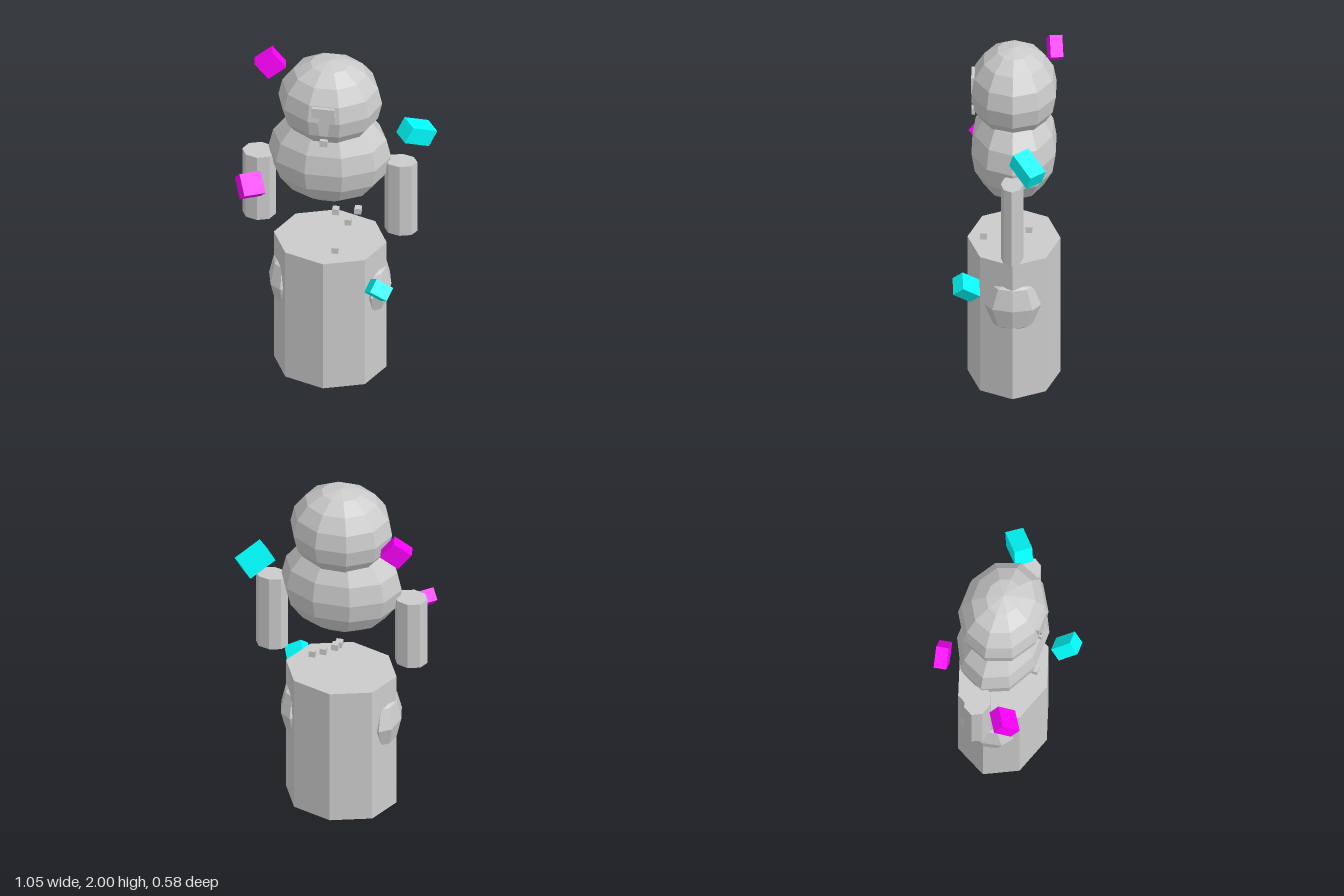
import * as THREE from 'three';

const CX = -0.033, CZ = -0.033; // axis shared by the figure's main volumes

const paint = (color) => new THREE.MeshStandardMaterial({ color, flatShading: true });

export function createModel() {
  const group = new THREE.Group();
  const grey = paint(0xcccccc), magenta = paint(0xff00ff), cyan = paint(0x00ffff);

  const add = (name, geometry, material, x, y, z) => {
    const mesh = new THREE.Mesh(geometry, material);
    mesh.name = name;
    mesh.position.set(x, y, z);
    group.add(mesh);
    return mesh;
  };
  const ellipsoid = (name, x, y, r, w, h) =>
    add(name, new THREE.SphereGeometry(1, w, h).scale(...r), grey, x, y, CZ);
  const post = (name, x, y0, y1, rx, rz) =>
    add(name, new THREE.CylinderGeometry(1, 1, y1 - y0, 8).scale(rx, 1, rz), grey, x, (y0 + y1) / 2, CZ);

  // Octagonal base with a low bulge on each side
  post('base', CX, 0, 0.825, 0.304, 0.248);
  for (const [name, side] of [['leftBulge', 1], ['rightBulge', -1]])
    ellipsoid(name, CX + side * 0.245, 0.553, [0.085, 0.163, 0.152], 8, 4);

  // Torso and head
  ellipsoid('torso', CX - 0.002, 1.396, [0.331, 0.29, 0.236], 10, 8);
  ellipsoid('head', CX, 1.745, [0.28, 0.255, 0.237], 10, 8);

  // Arms, hanging free of the torso
  post('leftArm', 0.349, 0.921, 1.378, 0.088, 0.06);
  post('rightArm', -0.417, 0.945, 1.358, 0.09, 0.073);

  // Thin face plates: brow, its short drop on one side, nose, mouth
  const plate = (name, x0, x1, y0, y1) =>
    add(name, new THREE.BoxGeometry(x1 - x0, y1 - y0, 0.02), grey, (x0 + x1) / 2, (y0 + y1) / 2, 0.184);
  plate('brow', -0.097, 0.025, 1.776, 1.838);
  plate('browDrop', -0.02, 0.03, 1.744, 1.8);
  plate('mouth', -0.054, -0.013, 1.59, 1.628);
  const nose = new THREE.Shape([
    [-0.054, 1.66], [-0.013, 1.66], [0.0, 1.745], [-0.035, 1.79], [-0.07, 1.745], [-0.06, 1.71],
  ].map(([x, y]) => new THREE.Vector2(x, y)));
  add('nose', new THREE.ExtrudeGeometry(nose, { depth: 0.02, bevelEnabled: false }), grey, 0, 0, 0.174);

  // Small loose cubes between base and torso
  for (const [x, y, z] of [[-0.007, 0.984, -0.06], [0.104, 0.96, -0.116], [0.062, 0.934, -0.045], [0.02, 0.868, 0.127]])
    add('smallCube', new THREE.BoxGeometry(0.036, 0.036, 0.036), grey, x, y, z);

  // Tilted floating blocks: size along u, v and u x v
  const block = (name, material, centre, size, u, v) => {
    const a = new THREE.Vector3(...u).normalize();
    const c = a.clone().cross(new THREE.Vector3(...v)).normalize();
    const b = c.clone().cross(a);
    add(name, new THREE.BoxGeometry(...size), material, ...centre)
      .quaternion.setFromRotationMatrix(new THREE.Matrix4().makeBasis(a, b, c));
  };
  block('upperRightBlock', magenta, [-0.39, 1.79, -0.241], [0.12, 0.12, 0.068], [0.09, 0.07, -0.02], [0.08, -0.09, -0.01]);
  block('lowerRightBlock', magenta, [-0.439, 1.242, 0.13], [0.123, 0.123, 0.072], [0.04, -0.085, 0.08], [0.11, -0.03, -0.05]);
  block('upperLeftBlock', cyan, [0.42, 1.517, -0.117], [0.167, 0.1, 0.1], [0.112, -0.075, -0.094], [0.06, -0.01, 0.074]);
  block('lowerLeftBlock', cyan, [0.268, 0.688, 0.213], [0.122, 0.103, 0.079], [0.046, 0.07, 0.089], [0.089, -0.051, -0.006]);

  return group;
}
